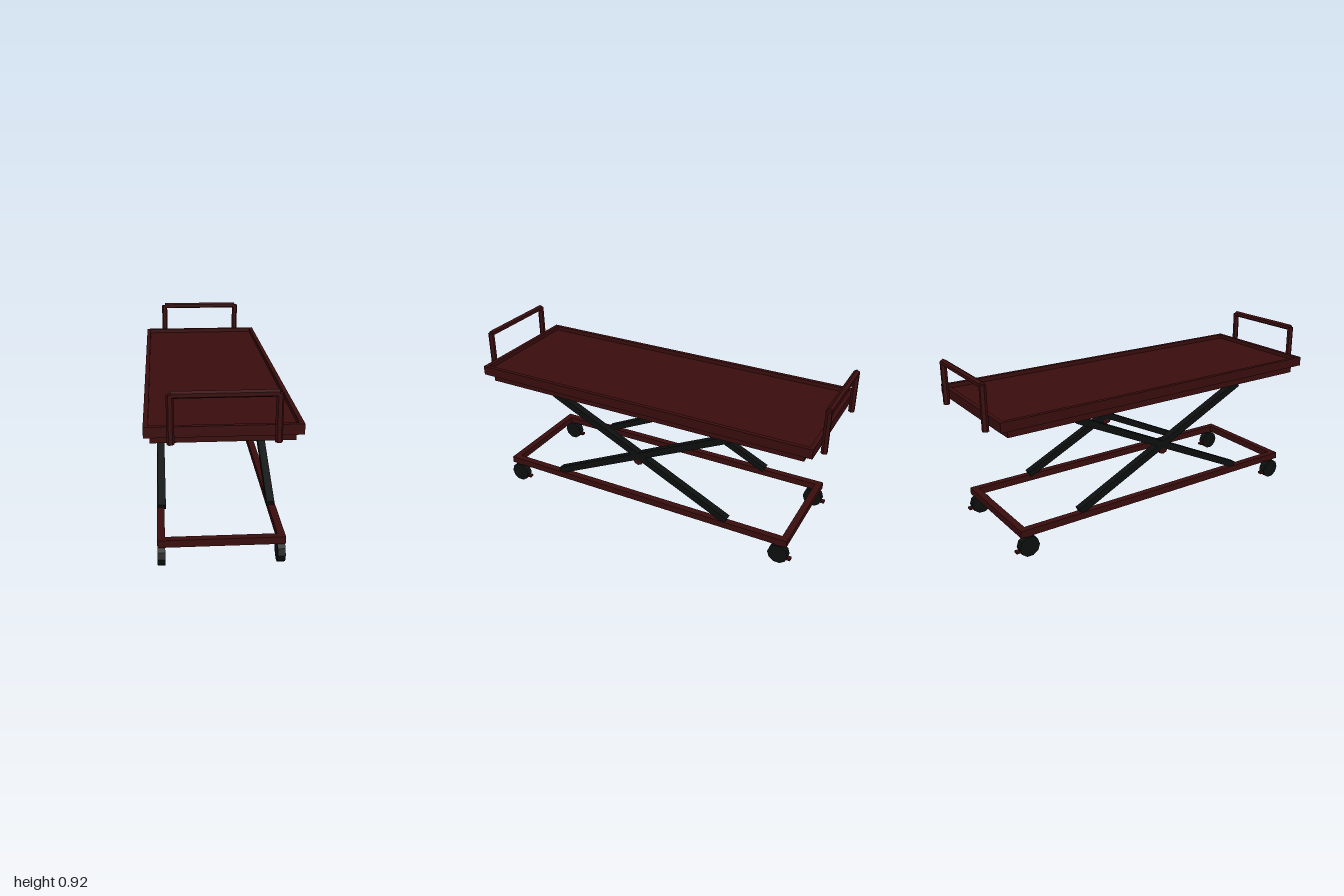
import * as THREE from 'three';

export function createModel() {
  const model = new THREE.Group();
  const red = new THREE.MeshStandardMaterial({ color: 0x3a0d0e, flatShading: true });
  red.name = 'dark red paint';
  const black = new THREE.MeshStandardMaterial({ color: 0x0d0f0f, flatShading: true });
  black.name = 'black metal';

  const add = (name, geometry, material, x, y, z, parent = model) => {
    const mesh = new THREE.Mesh(geometry, material);
    mesh.name = name;
    mesh.position.set(x, y, z);
    parent.add(mesh);
    return mesh;
  };
  const box = (name, w, h, d, material, x, y, z, parent) =>
    add(name, new THREE.BoxGeometry(w, h, d), material, x, y, z, parent);

  // Tray: sunken floor inside a raised rim
  const tray = new THREE.Group();
  tray.name = 'tray';
  model.add(tray);
  const rim = 0.022;
  box('trayFloor', 0.706 - 2 * rim, 0.027, 1.926 - 2 * rim, red, 0, 0.7155, 0, tray);
  for (const s of [-1, 1]) {
    box('traySideRim', rim, 0.05, 1.926, red, s * (0.353 - rim / 2), 0.727, 0, tray);
    box('trayEndRim', 0.706 - 2 * rim, 0.05, rim, red, 0, 0.727, s * (0.963 - rim / 2), tray);
  }

  // Support platform under the tray
  box('platform', 0.65, 0.036, 1.836, red, 0, 0.679, 0);

  // Push handles at both ends, six-sided bars
  for (const s of [-1, 1]) {
    const handle = new THREE.Group();
    handle.name = 'handle';
    handle.position.z = s * 0.985;
    model.add(handle);
    for (const x of [-0.235, 0.235]) {
      const post = add('handlePost', new THREE.CylinderGeometry(0.017, 0.017, 0.225, 6), red, x, 0.7925, 0, handle);
      post.rotation.y = Math.PI / 2;
    }
    const bar = add('handleBar', new THREE.CylinderGeometry(0.017, 0.017, 0.466, 6), red, 0, 0.903, 0, handle);
    bar.rotation.set(0, Math.PI / 2, Math.PI / 2, 'ZYX');
    bar.rotation.y = Math.PI / 2;
    bar.rotation.set(0, 0, Math.PI / 2);
    bar.geometry.rotateY(Math.PI / 2);
  }

  // Base frame
  for (const s of [-1, 1]) {
    box('baseSideRail', 0.037, 0.037, 1.74, red, s * 0.286, 0.1325, 0);
    box('baseCrossBar', 0.536, 0.037, 0.037, red, 0, 0.1325, s * 0.8515);
  }

  // Scissor arms with a pivot on each side
  const dy = 0.5, dz = 1.05;
  for (const x of [-0.279, 0.279]) {
    for (const s of [-1, 1]) {
      const arm = box('scissorArm', 0.04, 0.036, Math.hypot(dy, dz), black, x, 0.405, 0);
      arm.rotation.x = s * Math.atan2(dy, dz);
    }
    const pivot = add('pivot', new THREE.CylinderGeometry(0.03, 0.03, 0.039, 8), red, x, 0.381, 0);
    pivot.rotation.z = Math.PI / 2;
  }

  // Casters with stems and brake tabs
  for (const x of [-0.286, 0.286]) {
    for (const z of [-0.825, 0.825]) {
      const caster = new THREE.Group();
      caster.name = 'caster';
      caster.position.set(x, 0, z);
      model.add(caster);
      const wheel = add('wheel', new THREE.CylinderGeometry(0.055, 0.055, 0.037, 10), black, 0, 0.055, 0, caster);
      wheel.rotation.z = Math.PI / 2;
      box('stem', 0.03, 0.03, 0.03, black, 0, 0.105, 0, caster);
      box('brakeTab', 0.025, 0.012, 0.03, red, 0, 0.037, -0.055, caster);
    }
  }
  return model;
}
